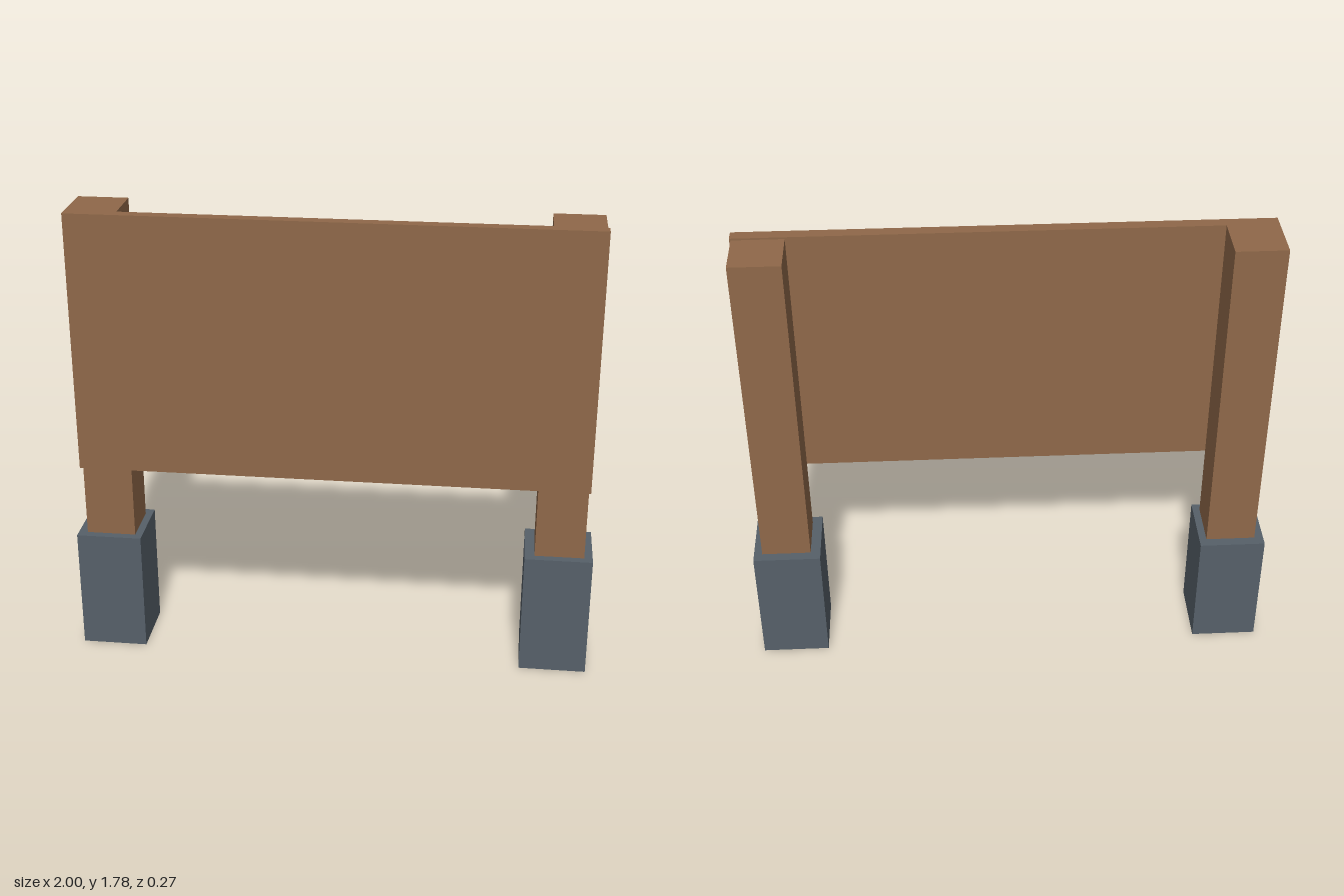
import * as THREE from 'three';

const wood = new THREE.MeshStandardMaterial({ color: 0x8f6849 });
const slate = new THREE.MeshStandardMaterial({ color: 0x566069 });

// Box given by its extents along each axis
function block(name, material, [x0, x1], [y0, y1], [z0, z1]) {
  const mesh = new THREE.Mesh(new THREE.BoxGeometry(x1 - x0, y1 - y0, z1 - z0), material);
  mesh.position.set((x0 + x1) / 2, (y0 + y1) / 2, (z0 + z1) / 2);
  mesh.name = name;
  return mesh;
}

export function createModel() {
  const model = new THREE.Group();
  model.name = 'signboard';

  // Posts standing in square footings; the left post is a hair shorter
  const supports = [
    { side: 'right', post: [-0.965, -0.775], foot: [-1, -0.747], footTop: 0.48, top: 1.784 },
    { side: 'left', post: [0.78, 0.968], foot: [0.742, 1], footTop: 0.484, top: 1.777 },
  ];
  for (const { side, post, foot, footTop, top } of supports) {
    model.add(block(side + 'Footing', slate, foot, [0, footTop], [-0.132, 0.122]));
    model.add(block(side + 'Post', wood, post, [footTop, top], [-0.094, 0.09]));
  }

  // Board made of a narrow lower plank and a wide upper panel
  const boardX = [-0.965, 0.973], boardZ = [0.09, 0.135];
  model.add(block('lowerPlank', wood, boardX, [0.78, 0.982], boardZ));
  model.add(block('upperPanel', wood, boardX, [0.982, 1.784], boardZ));

  return model;
}
